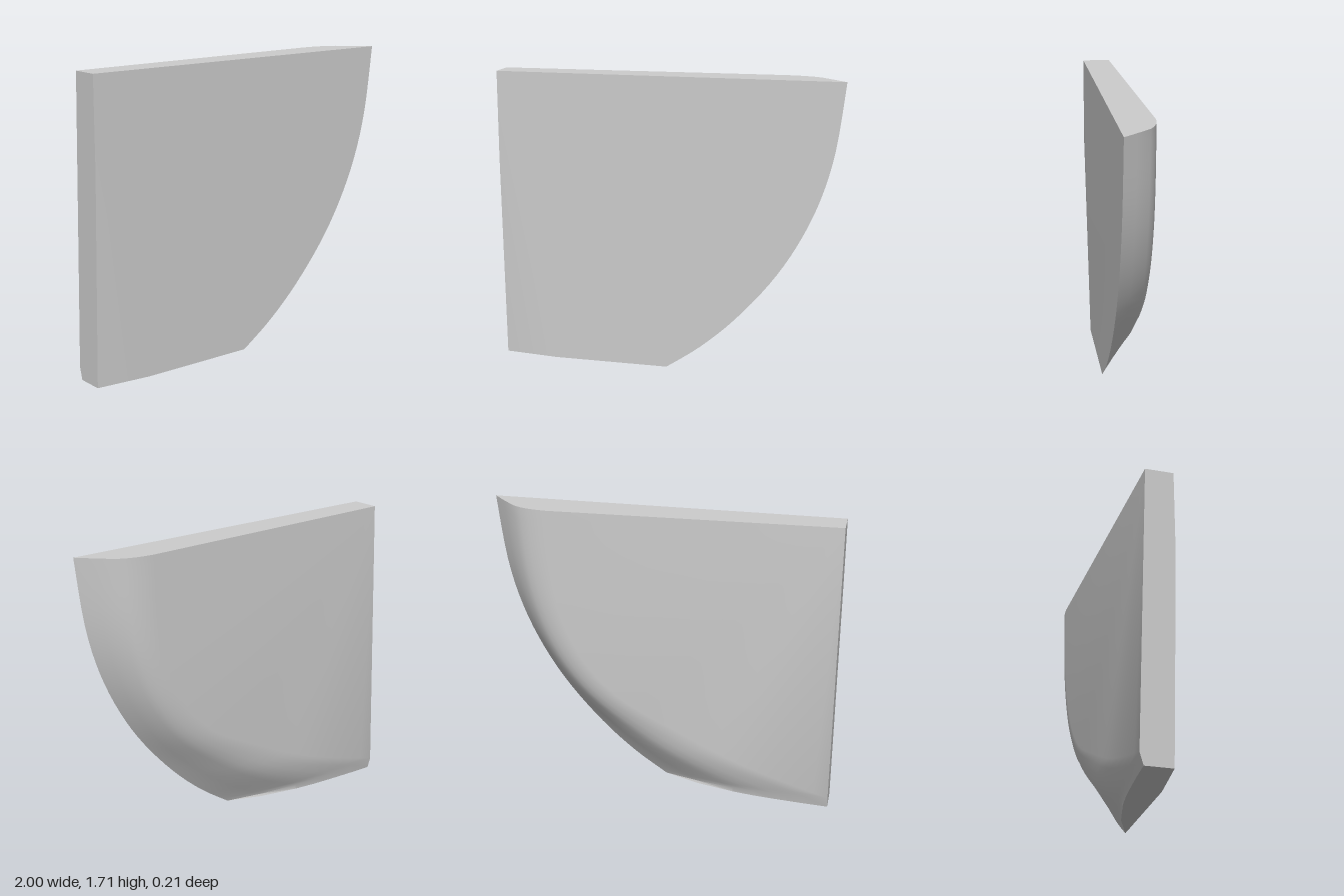
import * as THREE from 'three';
import { toCreasedNormals } from 'three/addons/utils/BufferGeometryUtils.js';

const HEIGHT = 1.71, FRONT = 0.105;
const v = (x, y, z) => new THREE.Vector3(x, y, z);
const spline = (pts) => new THREE.SplineCurve(pts.map(([x, y]) => new THREE.Vector2(x, y)));

// outer rim on the front face, and the line where the rounded border meets the flat back
const rim = spline([[0, 0], [0.2, 0.14], [0.4, 0.32], [0.6, 0.55], [0.75, 0.78], [0.87, 1.04], [0.95, 1.33], [1, HEIGHT]]);
const inner = spline([[-1, 0.07], [-0.52, 0.22], [-0.1, 0.41], [0.25, 0.6], [0.47, 0.84], [0.59, 1.12], [0.635, 1.4], [0.64, HEIGHT]]);

// depth of the border at each fraction of its width
const FRACTION = [0, 0.2, 0.43, 0.56, 0.69, 0.85, 1];
const Z_UPPER = [0.105, 0.03, -0.05, -0.075, -0.09, -0.101, -0.105];
const Z_LOWER = [0.105, 0.03, -0.035, -0.058, -0.075, -0.09, -0.105];
const Z_BOTTOM = [0.105, 0.025, -0.03, -0.05, -0.063, -0.076, -0.085];

// flat-sided polygon as a triangle fan
function fan(points) {
  const out = [];
  for (let i = 1; i < points.length - 1; i++) out.push(points[0], points[i], points[i + 1]);
  return out;
}

export function createModel() {
  const group = new THREE.Group();
  group.name = 'curvedPanel';
  const grey = new THREE.MeshStandardMaterial({ color: 0xcccccc });
  grey.name = 'light grey';

  function add(name, points) {
    const geometry = toCreasedNormals(new THREE.BufferGeometry().setFromPoints(points), 0.5);
    const mesh = new THREE.Mesh(geometry, grey);
    mesh.name = name;
    group.add(mesh);
  }

  // cross-sections of the border, from the bottom edge up to the top edge
  const STEPS = 28;
  const sections = [FRACTION.map((f, j) => v(-f, 0, Z_BOTTOM[j]))];
  for (let i = 0; i <= STEPS; i++) {
    const t = i / STEPS, a = rim.getPoint(t), b = inner.getPoint(t);
    sections.push(FRACTION.map((f, j) => {
      const p = a.clone().lerp(b, f);
      return v(p.x, p.y, THREE.MathUtils.lerp(Z_LOWER[j], Z_UPPER[j], Math.min(1, t / 0.2)));
    }));
  }
  const bottom = sections[0], top = sections[sections.length - 1];
  const last = FRACTION.length - 1;

  // corners of the straight side
  const topBack = v(-1, HEIGHT, -0.055), topFront = v(-1, HEIGHT, FRONT);
  const bendSide = v(-1, 1.2, FRONT), bendBottom = v(-0.68, 0, FRONT), bottomFront = v(-1, 0, 0.07);

  // rounded border and slightly twisted back
  const back = [];
  for (let i = 0; i < sections.length - 1; i++) {
    const p = sections[i], q = sections[i + 1];
    for (let j = 0; j < last; j++) {
      if (i > 0 || j > 0) back.push(p[j], p[j + 1], q[j]);
      back.push(p[j + 1], q[j + 1], q[j]);
    }
    if (i > 0) back.push(topBack, q[last], p[last]);
  }
  add('roundedBack', back);

  // front face with its bent lower corner
  add('frontFace', [
    ...fan([bendBottom, ...sections.slice(1).map((s) => s[0]), topFront, bendSide]),
    bendSide, bottomFront, bendBottom,
  ]);

  // straight edges
  add('topEdge', fan([topFront, ...top, topBack]));
  add('bottomEdge', fan([bottom[0], bendBottom, bottomFront, ...bottom.slice(1).reverse()]));
  add('sideEdge', fan([topBack, sections[1][last], bottom[last], bottomFront, bendSide, topFront]));
  return group;
}
